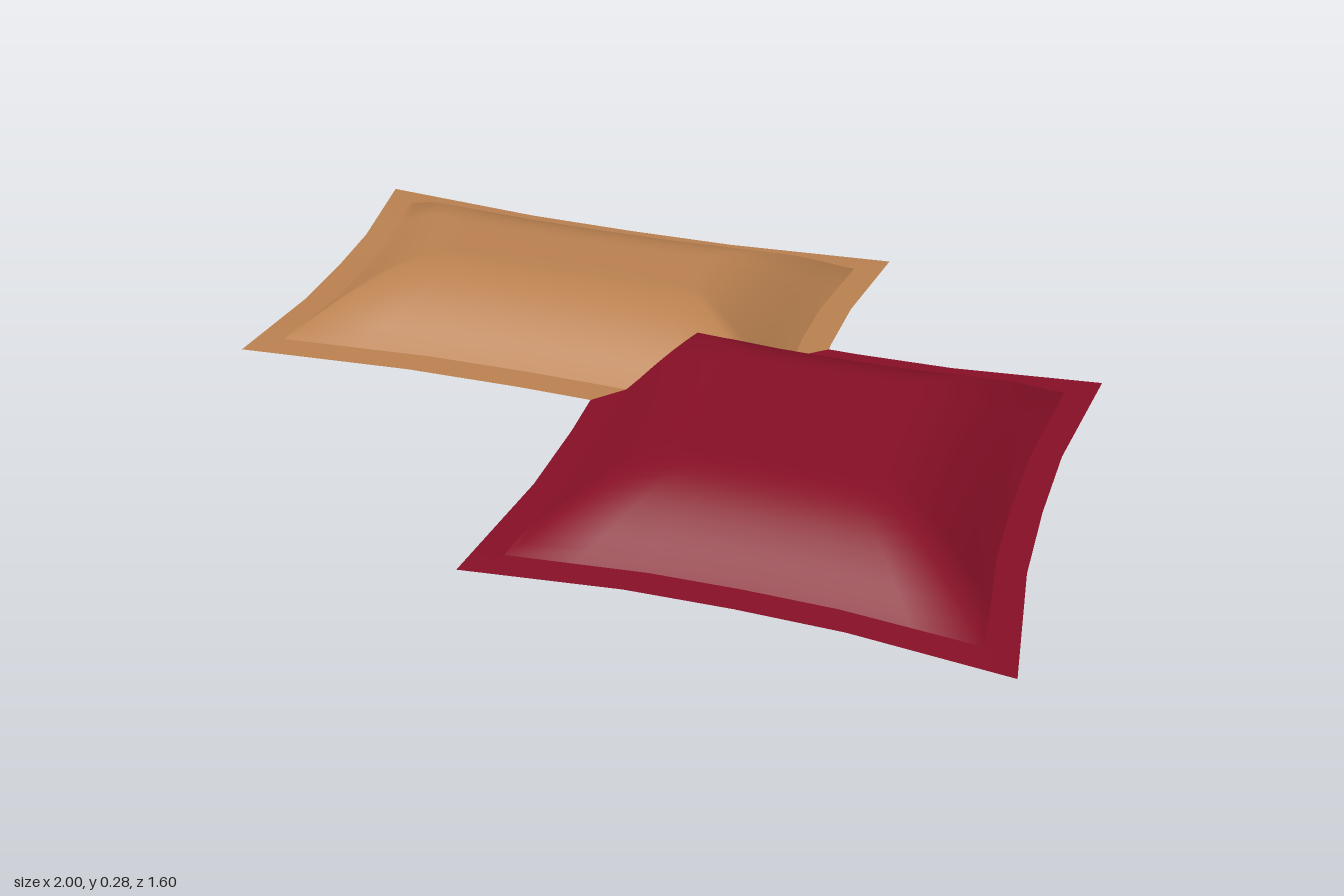
import * as THREE from 'three';

const HALF_HEIGHT = 0.14;
const HEM = 0.003; // half thickness of the hem at the seam

// One side runs from corner to corner; the bow pulls its middle inwards
const SIDE = [[-1, 0], [-0.7, 0.44], [-0.4, 0.88], [0, 1], [0.4, 0.88], [0.7, 0.44]];

// Closed loop around a rectangle with bowed sides, as [x, z] points
function outline(hx, hz, bow) {
  const pts = [];
  for (let side = 0; side < 4; side++) {
    for (const [u, b] of SIDE) {
      const inset = b * bow;
      if (side === 0) pts.push([u * hx, hz - inset]);
      if (side === 1) pts.push([hx - inset, -u * hz]);
      if (side === 2) pts.push([-u * hx, -hz + inset]);
      if (side === 3) pts.push([-hx + inset, u * hz]);
    }
  }
  return pts;
}

// Skin between two outlines; height(t) gives y, sign picks top or bottom
function skin(from, to, rings, height, sign, capped) {
  const n = from.length, pos = [], idx = [];
  const tri = (a, b, c) => (sign > 0 ? idx.push(a, b, c) : idx.push(a, c, b));
  for (let r = 0; r <= rings; r++) {
    const t = r / rings;
    for (let i = 0; i < n; i++) {
      pos.push(
        THREE.MathUtils.lerp(from[i][0], to[i][0], t),
        sign * height(t),
        THREE.MathUtils.lerp(from[i][1], to[i][1], t));
    }
  }
  for (let r = 0; r < rings; r++) {
    for (let i = 0; i < n; i++) {
      const a = r * n + i, b = r * n + (i + 1) % n;
      tri(a, b, b + n);
      tri(a, b + n, a + n);
    }
  }
  if (capped) {
    const c = pos.length / 3;
    pos.push(0, sign * height(1), 0);
    for (let i = 0; i < n; i++) tri(rings * n + i, rings * n + (i + 1) % n, c);
  }
  const geo = new THREE.BufferGeometry();
  geo.setAttribute('position', new THREE.Float32BufferAttribute(pos, 3));
  geo.setIndex(idx);
  geo.computeVertexNormals();
  return geo;
}

// Cushion: a puffed body with a flat top, framed by a thin hem
function cushion(name, material, x, z, outer, seam, flat) {
  const group = new THREE.Group();
  group.name = name;
  const edge = outline(...outer), inner = outline(...seam), top = outline(...flat);
  const puff = t => Math.max(HEM, HALF_HEIGHT * Math.sin(t * Math.PI / 2));
  for (const [label, sign] of [['Top', 1], ['Bottom', -1]]) {
    const hem = new THREE.Mesh(skin(edge, inner, 1, t => HEM * t, sign, false), material);
    hem.name = 'hem' + label;
    const body = new THREE.Mesh(skin(inner, top, 10, puff, sign, true), material);
    body.name = 'body' + label;
    group.add(hem, body);
  }
  group.position.set(x, HALF_HEIGHT, z);
  return group;
}

export function createModel() {
  const tan = new THREE.MeshStandardMaterial({ color: 0xb9804f, side: THREE.DoubleSide });
  tan.name = 'tan fabric';
  const red = new THREE.MeshStandardMaterial({ color: 0x860f26, side: THREE.DoubleSide });
  red.name = 'dark red fabric';

  const model = new THREE.Group();
  model.name = 'cushions';
  model.add(
    cushion('tanCushion', tan, -0.305, -0.342,
      [0.695, 0.462, 0.041], [0.618, 0.39, 0.036], [0.31, 0.08, 0]),
    cushion('redCushion', red, 0.418, 0.22,
      [0.582, 0.58, 0.046], [0.505, 0.505, 0.036], [0.2, 0.2, 0]));
  return model;
}
